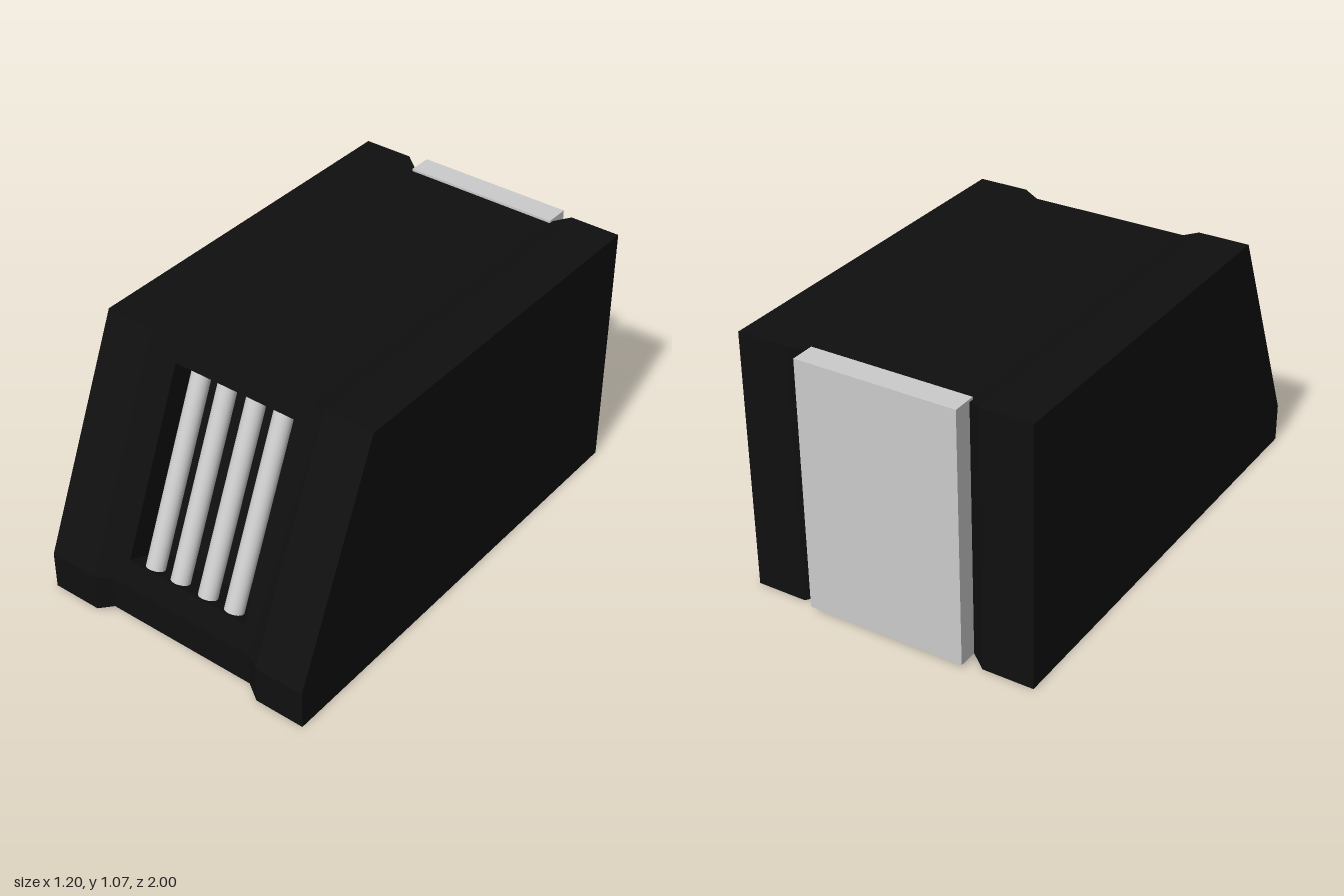
import * as THREE from 'three';

export function createModel() {
  const group = new THREE.Group();
  const black = new THREE.MeshStandardMaterial({ color: 0x0f0f0f });
  const grey = new THREE.MeshStandardMaterial({ color: 0xcccccc });
  const add = (parent, name, geometry, material, x = 0, y = 0, z = 0) => {
    const mesh = new THREE.Mesh(geometry, material);
    mesh.name = name;
    mesh.position.set(x, y, z);
    parent.add(mesh);
    return mesh;
  };

  // Side profiles as [z, y]: full-size flanks and the slightly inset middle band
  const flank = [[1, 0], [1, 0.16], [0.6, 1.065], [-0.96, 1.065], [-0.96, 0]];
  const middle = [[0.965, 0.02], [0.965, 0.16], [0.585, 1.045], [-0.92, 1.045], [-0.92, 0.02]];
  const stations = [
    [-0.6, flank], [-0.39, flank], [-0.33, middle],
    [0.33, middle], [0.39, flank], [0.6, flank],
  ];

  // Body skin, leaving the middle of the sloping front open for the grille panel
  const positions = [];
  const tri = (...points) => points.forEach((p) => positions.push(...p));
  const at = (i, j) => {
    const [x, profile] = stations[i];
    const [z, y] = profile[j % 5];
    return [x, y, z];
  };
  for (let i = 0; i < 5; i++) {
    for (let j = 0; j < 5; j++) {
      if (i === 2 && j === 1) continue;
      const a = at(i, j), b = at(i + 1, j), c = at(i + 1, j + 1), d = at(i, j + 1);
      tri(a, b, c);
      tri(a, c, d);
    }
  }
  for (let j = 1; j < 4; j++) {
    tri(at(0, 0), at(0, j), at(0, j + 1));
    tri(at(5, 0), at(5, j + 1), at(5, j));
  }
  const bodyGeometry = new THREE.BufferGeometry();
  bodyGeometry.setAttribute('position', new THREE.Float32BufferAttribute(positions, 3));
  bodyGeometry.computeVertexNormals();
  add(group, 'body', bodyGeometry, black);

  // Sloping front: local y runs up the slope, local z points out of it
  const grille = new THREE.Group();
  grille.name = 'frontGrille';
  grille.position.set(0, 0.16, 0.965);
  grille.rotation.x = -Math.atan2(0.38, 0.885);
  group.add(grille);

  const slope = Math.hypot(0.38, 0.885);
  const left = -0.27, right = 0.285, bottom = 0.103, top = 0.887, depth = 0.19;
  const rectangle = (Type, x0, y0, x1, y1) => new Type([
    new THREE.Vector2(x0, y0), new THREE.Vector2(x1, y0),
    new THREE.Vector2(x1, y1), new THREE.Vector2(x0, y1),
  ]);
  const panel = rectangle(THREE.Shape, -0.33, 0, 0.33, slope);
  panel.holes.push(rectangle(THREE.Path, left, bottom, right, top));
  add(grille, 'grillePanel',
    new THREE.ExtrudeGeometry(panel, { depth, bevelEnabled: false }), black, 0, 0, -depth);
  add(grille, 'recessFloor', new THREE.PlaneGeometry(right - left, top - bottom), black,
    (left + right) / 2, (bottom + top) / 2, -depth);

  // Four round bars spanning the recess
  const bar = new THREE.CylinderGeometry(0.038, 0.038, top - bottom, 24);
  for (const x of [-0.183, -0.061, 0.071, 0.195]) {
    add(grille, 'grilleBar', bar, grey, x, (bottom + top) / 2, -0.048);
  }

  // Plate on the back
  add(group, 'backPlate', new THREE.BoxGeometry(0.66, 1.035, 0.1), grey, 0, 0.5375, -0.95);

  return group;
}
